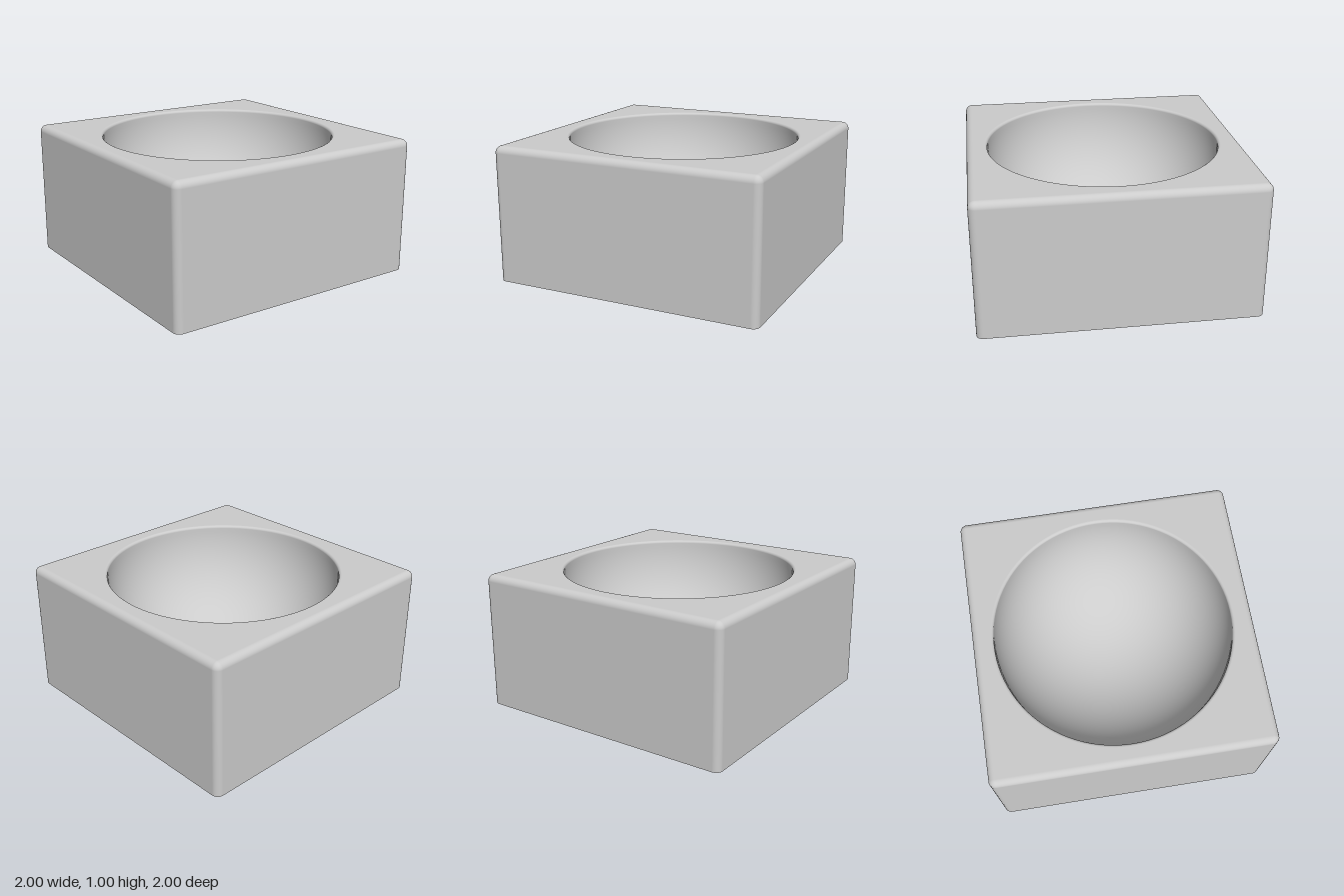
import * as THREE from 'three';

const HALF = 1, HEIGHT = 1, EDGE = 0.05;   // block half width, height, edge rounding
const BOWL = 0.85, LIP = 0.02;             // bowl radius, rim rounding
const CORE = HALF - EDGE;
const STEPS = 8;                           // segments per quarter round

// Horizontal directions around the block, with the corner each one belongs to
function outline() {
  const points = [];
  for (let c = 0; c < 4; c++) {
    const mid = Math.PI / 4 + c * Math.PI / 2;
    for (let i = 0; i <= STEPS; i++) {
      const a = c * Math.PI / 2 + (i / STEPS) * Math.PI / 2;
      points.push({
        cx: Math.sign(Math.cos(mid)) * CORE, cz: Math.sign(Math.sin(mid)) * CORE,
        nx: Math.cos(a), nz: Math.sin(a),
      });
    }
  }
  return points;
}

// Side walls rising into the rounded top edge, with exact smooth normals
function wallGeometry(ring) {
  const rows = [{ y: 0, tilt: 0 }];
  for (let i = 0; i <= STEPS; i++) rows.push({ y: HEIGHT - EDGE, tilt: (i / STEPS) * Math.PI / 2 });
  const position = [], normal = [], index = [];
  const n = ring.length;
  rows.forEach(({ y, tilt }, r) => {
    const c = Math.cos(tilt), s = Math.sin(tilt);
    ring.forEach((p, j) => {
      position.push(p.cx + EDGE * c * p.nx, y + EDGE * s, p.cz + EDGE * c * p.nz);
      normal.push(c * p.nx, s, c * p.nz);
      if (r === rows.length - 1) return;
      const a = r * n + j, b = r * n + (j + 1) % n;
      index.push(a, a + n, b, b, a + n, b + n);
    });
  });
  const g = new THREE.BufferGeometry();
  g.setAttribute('position', new THREE.Float32BufferAttribute(position, 3));
  g.setAttribute('normal', new THREE.Float32BufferAttribute(normal, 3));
  g.setIndex(index);
  return g;
}

// Flat top with the round opening
function topGeometry() {
  const shape = new THREE.Shape([[-1, -1], [1, -1], [1, 1], [-1, 1]]
    .map(([x, y]) => new THREE.Vector2(x * CORE, y * CORE)));
  shape.holes.push(new THREE.Path().absarc(0, 0, BOWL + LIP, 0, Math.PI * 2, true));
  return new THREE.ShapeGeometry(shape, 48).rotateX(-Math.PI / 2).translate(0, HEIGHT, 0);
}

// Flat underside following the rounded vertical corners
function bottomGeometry(ring) {
  const shape = new THREE.Shape(ring.map(p =>
    new THREE.Vector2(p.cx + EDGE * p.nx, p.cz + EDGE * p.nz)));
  return new THREE.ShapeGeometry(shape).rotateX(Math.PI / 2);
}

// Hemispherical hollow with a softly rounded lip
function bowlGeometry() {
  const profile = [];
  for (let i = 0; i <= STEPS; i++) {
    const a = (i / STEPS) * Math.PI / 2;
    profile.push(new THREE.Vector2(BOWL + LIP - LIP * Math.sin(a), HEIGHT - LIP + LIP * Math.cos(a)));
  }
  const depth = BOWL - LIP;
  for (let i = 1; i <= 40; i++) {
    const a = (i / 40) * Math.PI / 2;
    profile.push(new THREE.Vector2(Math.max(0, BOWL * Math.cos(a)), HEIGHT - LIP - depth * Math.sin(a)));
  }
  return new THREE.LatheGeometry(profile, 96);
}

export function createModel() {
  const model = new THREE.Group();
  model.name = 'hollowedBlock';
  const material = new THREE.MeshStandardMaterial({ color: 0xcccccc });
  const ring = outline();
  const add = (name, geometry) => {
    const mesh = new THREE.Mesh(geometry, material);
    mesh.name = name;
    model.add(mesh);
  };
  add('walls', wallGeometry(ring));
  add('topFace', topGeometry());
  add('underside', bottomGeometry(ring));
  add('bowl', bowlGeometry());
  return model;
}
